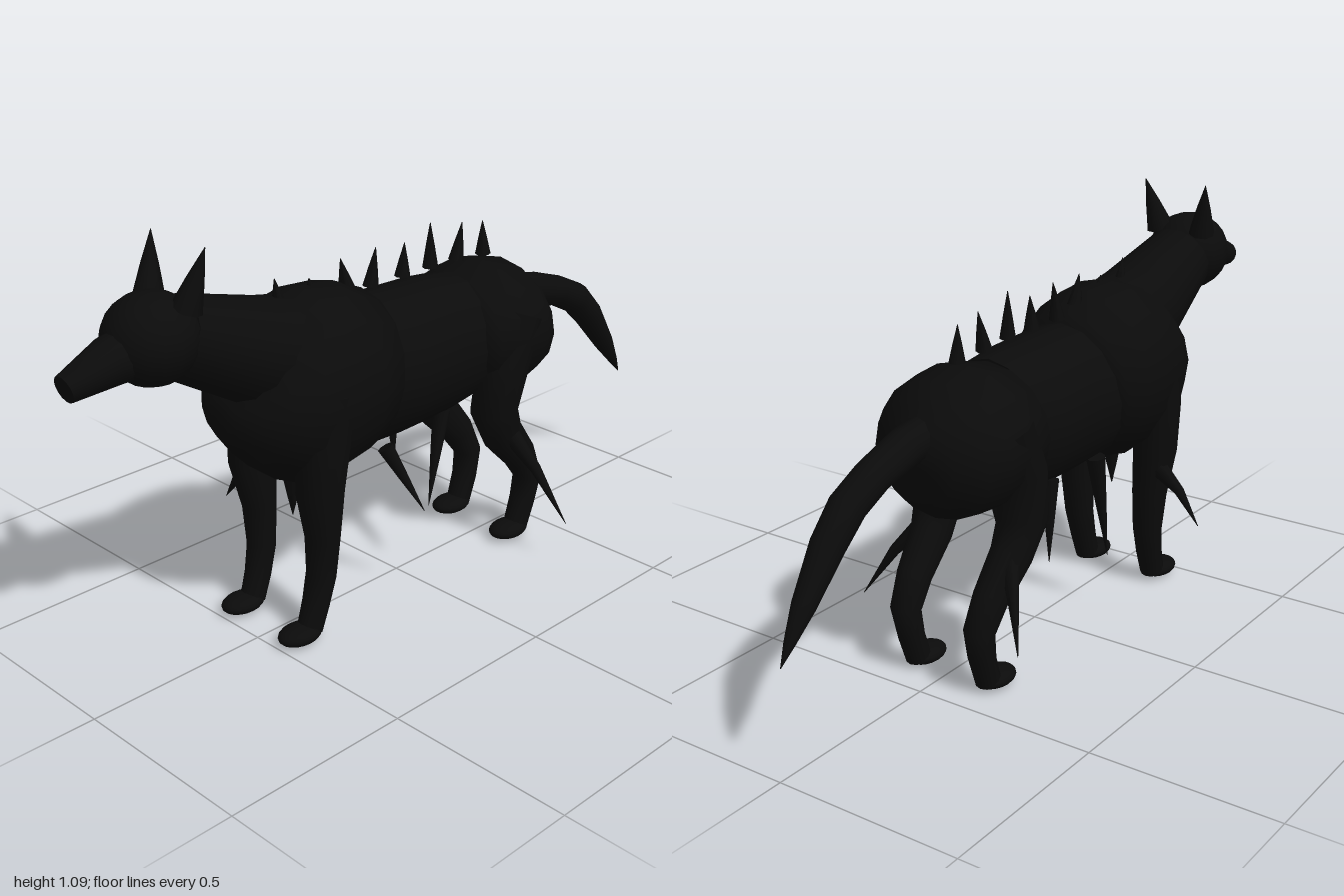
import * as THREE from 'three';
import { toCreasedNormals } from 'three/addons/utils/BufferGeometryUtils.js';

const black = new THREE.MeshStandardMaterial({ color: 0x0b0b0b });

// Closed skin over elliptical rings [x, y, z, sideways radius, other radius]
function loft(name, rings, sides = 12) {
  const P = rings.map(r => new THREE.Vector3(r[0], r[1], r[2]));
  const pos = [], index = [], n = rings.length;
  rings.forEach((r, i) => {
    const t = P[Math.min(i + 1, n - 1)].clone().sub(P[Math.max(i - 1, 0)]).normalize();
    const u = new THREE.Vector3(1, 0, 0).addScaledVector(t, -t.x).normalize();
    const v = t.clone().cross(u);
    for (let j = 0; j < sides; j++) {
      const a = (j / sides) * Math.PI * 2;
      const p = P[i].clone().addScaledVector(u, r[3] * Math.cos(a))
        .addScaledVector(v, (r[4] ?? r[3]) * Math.sin(a));
      pos.push(p.x, p.y, p.z);
    }
  });
  for (let i = 0; i < n - 1; i++) {
    for (let j = 0; j < sides; j++) {
      const k = (j + 1) % sides, a = i * sides, b = a + sides;
      index.push(a + j, a + k, b + k, a + j, b + k, b + j);
    }
  }
  // End caps
  const c = n * sides;
  pos.push(...P[0].toArray(), ...P[n - 1].toArray());
  for (let j = 0; j < sides; j++) {
    const k = (j + 1) % sides, e = (n - 1) * sides;
    index.push(c, k, j, c + 1, e + j, e + k);
  }
  const g = new THREE.BufferGeometry();
  g.setAttribute('position', new THREE.Float32BufferAttribute(pos, 3));
  g.setIndex(index);
  const mesh = new THREE.Mesh(toCreasedNormals(g, 0.9), black);
  mesh.name = name;
  return mesh;
}

function ball(name, x, y, z, rx, ry, rz) {
  const mesh = new THREE.Mesh(new THREE.SphereGeometry(1, 18, 12), black);
  mesh.name = name;
  mesh.position.set(x, y, z);
  mesh.scale.set(rx, ry, rz);
  return mesh;
}

// Pointed spike from base to tip, with a slight outward bow
function spike(name, base, tip, r, bow = 0) {
  const mid = base.map((b, i) => (b + tip[i]) / 2);
  mid[1] += bow;
  return loft(name, [[...base, r], [...mid, r * 0.55], [...tip, 0.0008]], 8);
}

export function createModel() {
  const model = new THREE.Group();
  model.name = 'wolfBeast';
  const body = new THREE.Group();
  body.name = 'body';
  body.position.x = -0.02;
  model.add(body);

  // Torso
  body.add(loft('chest', [
    [0, 0.63, 0.11, 0.15, 0.16], [0, 0.635, 0.135, 0.185, 0.205], [0, 0.645, 0.21, 0.203, 0.236],
    [0, 0.64, 0.3, 0.204, 0.25], [0, 0.64, 0.4, 0.2, 0.232], [0, 0.645, 0.48, 0.165, 0.17],
    [0, 0.65, 0.53, 0.12, 0.1], [0, 0.66, 0.547, 0.05, 0.04]], 16));
  body.add(loft('belly', [
    [0, 0.62, -0.23, 0.155, 0.18], [0, 0.618, -0.12, 0.166, 0.193],
    [0, 0.618, 0.03, 0.17, 0.197], [0, 0.62, 0.16, 0.168, 0.195]], 16));
  body.add(loft('hips', [
    [0, 0.61, -0.53, 0.05, 0.05], [0, 0.615, -0.51, 0.11, 0.11], [0, 0.61, -0.455, 0.175, 0.155],
    [0, 0.62, -0.4, 0.2, 0.177], [0, 0.63, -0.32, 0.203, 0.185], [0, 0.63, -0.23, 0.187, 0.165],
    [0, 0.63, -0.195, 0.15, 0.12]], 16));

  // Neck and head
  body.add(loft('neck', [[0, 0.735, 0.34, 0.14], [0, 0.775, 0.48, 0.13], [0, 0.87, 0.7, 0.098]], 14));
  body.add(ball('head', 0, 0.88, 0.755, 0.115, 0.11, 0.117));
  body.add(loft('snout', [[0, 0.865, 0.81, 0.066], [0, 0.856, 0.87, 0.058], [0, 0.825, 0.99, 0.034]], 14));

  // Tail
  body.add(loft('tail', [
    [0, 0.685, -0.46, 0.052], [0, 0.668, -0.56, 0.05], [0, 0.637, -0.67, 0.048, 0.044],
    [0, 0.592, -0.76, 0.046], [0, 0.522, -0.83, 0.042], [0, 0.41, -0.915, 0.029],
    [0, 0.34, -0.965, 0.014], [0, 0.292, -0.997, 0.001]]));

  // Mirrored ears, legs and feet
  for (const s of [1, -1]) {
    const side = s > 0 ? 'left' : 'right';
    body.add(spike(side + 'Ear', [s * 0.068, 0.95, 0.705], [s * 0.097, 1.093, 0.667], 0.038));
    body.add(loft(side + 'FrontLeg', [
      [s * 0.135, 0.67, 0.35, 0.066, 0.062], [s * 0.134, 0.55, 0.362, 0.068, 0.068],
      [s * 0.128, 0.41, 0.373, 0.06, 0.064], [s * 0.12, 0.28, 0.362, 0.05, 0.043],
      [s * 0.115, 0.17, 0.364, 0.042, 0.037], [s * 0.112, 0.09, 0.382, 0.037, 0.035],
      [s * 0.111, 0.025, 0.403, 0.034, 0.034]]));
    body.add(ball(side + 'FrontFoot', s * 0.111, 0.024, 0.437, 0.046, 0.024, 0.063));
    body.add(loft(side + 'HindLeg', [
      [s * 0.135, 0.69, -0.345, 0.066, 0.072], [s * 0.135, 0.56, -0.292, 0.07, 0.075],
      [s * 0.13, 0.43, -0.265, 0.062, 0.07], [s * 0.125, 0.34, -0.31, 0.052, 0.06],
      [s * 0.119, 0.25, -0.39, 0.044, 0.049], [s * 0.115, 0.175, -0.432, 0.041, 0.038],
      [s * 0.112, 0.1, -0.418, 0.037, 0.034], [s * 0.111, 0.025, -0.392, 0.034, 0.034]]));
    body.add(ball(side + 'HindFoot', s * 0.111, 0.024, -0.361, 0.046, 0.024, 0.063));
  }

  // Row of spines on the back: base y, base z, tip y, tip z
  [[0.85, 0.375, 0.93, 0.39], [0.85, 0.27, 0.905, 0.28], [0.85, 0.155, 0.93, 0.175],
    [0.832, 0.072, 0.932, 0.053], [0.832, -0.042, 0.92, -0.05], [0.832, -0.146, 0.953, -0.145],
    [0.828, -0.245, 0.928, -0.267], [0.822, -0.352, 0.915, -0.348]].forEach(([by, bz, ty, tz], i) => {
    body.add(spike('backSpine' + (i + 1), [0, by, bz], [0, ty, tz], 0.021));
  });

  // Thin thorns hanging from belly and legs: base, tip, radius, bow
  [[[-0.16, 0.36, 0.35], [-0.295, 0.23, 0.33], 0.026, 0.02],
    [[-0.14, 0.34, -0.34], [-0.24, 0.15, -0.445], 0.026, 0.015],
    [[0.14, 0.37, -0.3], [0.33, 0.125, -0.345], 0.028, 0.02],
    [[0.11, 0.44, 0.13], [0.19, 0.265, 0.068], 0.022, 0],
    [[-0.1, 0.46, 0.11], [-0.11, 0.16, 0.16], 0.026, 0],
    [[0.08, 0.46, -0.11], [0.11, 0.215, -0.032], 0.024, 0],
    [[-0.09, 0.46, -0.09], [-0.11, 0.245, -0.122], 0.024, 0],
    [[0, 0.41, 0.35], [-0.003, 0.287, 0.35], 0.028, 0]].forEach(([base, tip, r, bow], i) => {
    body.add(spike('thorn' + (i + 1), base, tip, r, bow));
  });

  return model;
}
